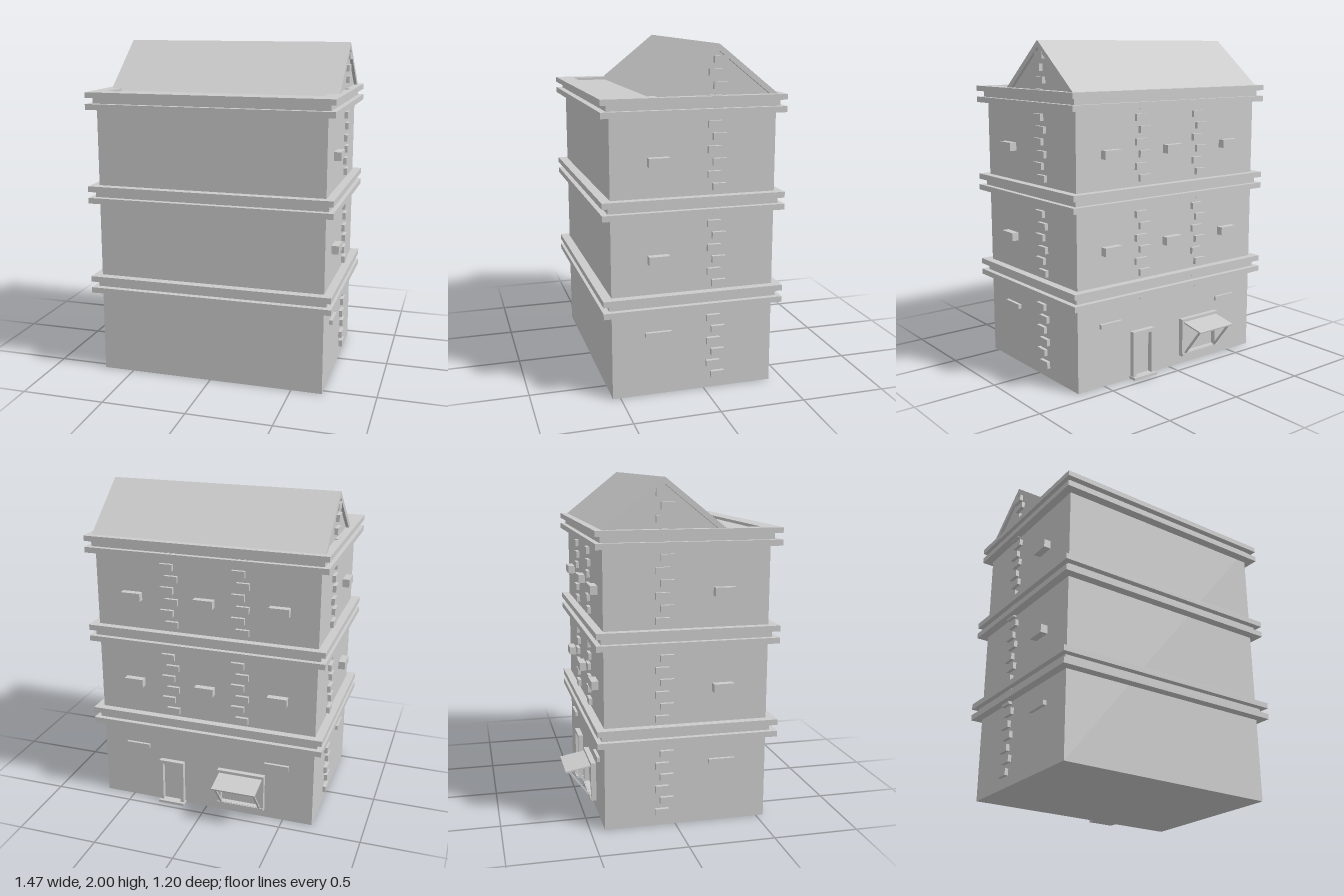
import * as THREE from 'three';

const material = new THREE.MeshStandardMaterial({ color: 0xcccccc, flatShading: true });

export function createModel() {
  const model = new THREE.Group();

  const add = (name, geometry) => {
    const mesh = new THREE.Mesh(geometry, material);
    mesh.name = name;
    model.add(mesh);
    return mesh;
  };

  // Box given by its limits on each axis
  const box = (name, x0, x1, y0, y1, z0, z1) => {
    const mesh = add(name, new THREE.BoxGeometry(x1 - x0, y1 - y0, z1 - z0));
    mesh.position.set((x0 + x1) / 2, (y0 + y1) / 2, (z0 + z1) / 2);
    return mesh;
  };

  // Prism along x from a [z, y] profile
  const prism = (name, points, halfLength) => {
    const shape = new THREE.Shape(points.map(([z, y]) => new THREE.Vector2(z, y)));
    const geometry = new THREE.ExtrudeGeometry(shape, { depth: 2 * halfLength, bevelEnabled: false });
    geometry.translate(0, 0, -halfLength).rotateY(-Math.PI / 2);
    return add(name, geometry);
  };

  // Bar in the zy plane between two [z, y] ends
  const bar = (name, x, width, thickness, [z0, y0], [z1, y1]) => {
    const mesh = add(name, new THREE.BoxGeometry(width, thickness, Math.hypot(z1 - z0, y1 - y0)));
    mesh.position.set(x, (y0 + y1) / 2, (z0 + z1) / 2);
    mesh.rotation.x = -Math.atan2(y1 - y0, z1 - z0);
    return mesh;
  };

  const W = 0.685, FRONT = 0.545, BACK = -0.415;
  box('walls', -W, W, 0, 1.705, BACK, FRONT);

  // Double cornice above each storey
  for (const y of [0.505, 1.062, 1.62]) {
    box('lowerCornice', -0.735, 0.735, y, y + 0.034, -0.462, 0.6);
    box('corniceNeck', -0.703, 0.703, y + 0.034, y + 0.07, -0.432, 0.562);
    if (y < 1.6) box('upperCornice', -0.735, 0.735, y + 0.07, y + 0.104, -0.462, 0.6);
  }

  // Top cornice is a rim around the sunken flat roof
  const rim = new THREE.Shape();
  rim.moveTo(-0.735, -0.6).lineTo(0.735, -0.6).lineTo(0.735, 0.462).lineTo(-0.735, 0.462).closePath();
  const well = new THREE.Path();
  well.moveTo(-0.64, -0.495).lineTo(-0.64, 0.365).lineTo(0.64, 0.365).lineTo(0.64, -0.495).closePath();
  rim.holes.push(well);
  const rimGeometry = new THREE.ExtrudeGeometry(rim, { depth: 0.032, bevelEnabled: false });
  rimGeometry.rotateX(-Math.PI / 2).translate(0, 1.69, 0);
  add('parapetRim', rimGeometry);

  // Gabled attic and its roof slabs
  prism('atticGable', [[0.27, 1.7], [-0.07, 1.97], [-0.41, 1.7]], W);
  prism('roof', [
    [0.293, 1.71], [-0.07, 2], [-0.433, 1.71],
    [-0.385, 1.71], [-0.07, 1.962], [0.245, 1.71],
  ], 0.703);

  // Staggered quoin stones on the sides and the back
  for (let k = 0; k < 27; k++) {
    const y = 0.085 + 0.0705 * k;
    const shift = k % 2 ? 0.014 : -0.014;
    for (const s of [-1, 1]) {
      const x = s * 0.69;
      box('sideQuoin', x - 0.016, x + 0.016, y - 0.02, y + 0.02, -0.107 + shift, -0.027 + shift);
      if (k >= 6 && k <= 22) {
        const c = s * 0.22 + shift;
        box('backQuoin', c - 0.04, c + 0.04, y - 0.02, y + 0.02, -0.435, -0.4);
      }
    }
  }

  // Window boxes on the upper storeys
  for (const y of [0.79, 1.345]) {
    for (const s of [-1, 1]) {
      const x = s * 0.695;
      box('sideWindowBox', x - 0.033, x + 0.033, y, y + 0.05, 0.215, 0.335);
    }
    for (const x of [-0.455, 0, 0.455])
      box('backWindowBox', x - 0.06, x + 0.06, y, y + 0.05, -0.457, -0.4);
  }

  // Thin ledges on the ground storey
  for (const s of [-1, 1]) {
    const x = s * 0.685, c = s * 0.455;
    box('sideLedge', x - 0.02, x + 0.02, 0.358, 0.385, 0.198, 0.352);
    box('backLedge', c - 0.077, c + 0.077, 0.358, 0.385, -0.432, -0.4);
  }

  // Frame standing out from the back wall around an opening
  const frame = (name, x0, x1, y0, y1, t, bottom) => {
    box(name, x0, x0 + t, y0, y1, -0.446, -0.41);
    box(name, x1 - t, x1, y0, y1, -0.446, -0.41);
    box(name, x0 + t, x1 - t, y1 - t, y1, -0.446, -0.41);
    if (bottom) box(name, x0 + t, x1 - t, y0, y0 + t, -0.446, -0.41);
  };

  // Back door with its step
  frame('doorFrame', 0.145, 0.305, 0, 0.295, 0.022, false);
  box('doorStep', 0.14, 0.31, 0, 0.016, -0.465, -0.4);

  // Shop window with a propped awning
  frame('shopWindowFrame', -0.382, -0.082, 0.055, 0.295, 0.022, true);
  box('shopWindowSill', -0.382, -0.082, 0.06, 0.075, -0.453, -0.41);
  bar('awning', -0.2325, 0.275, 0.009, [-0.44, 0.274], [-0.597, 0.245]);
  for (const x of [-0.355, -0.11])
    bar('awningStrut', x, 0.012, 0.01, [-0.445, 0.075], [-0.575, 0.243]);

  return model;
}
